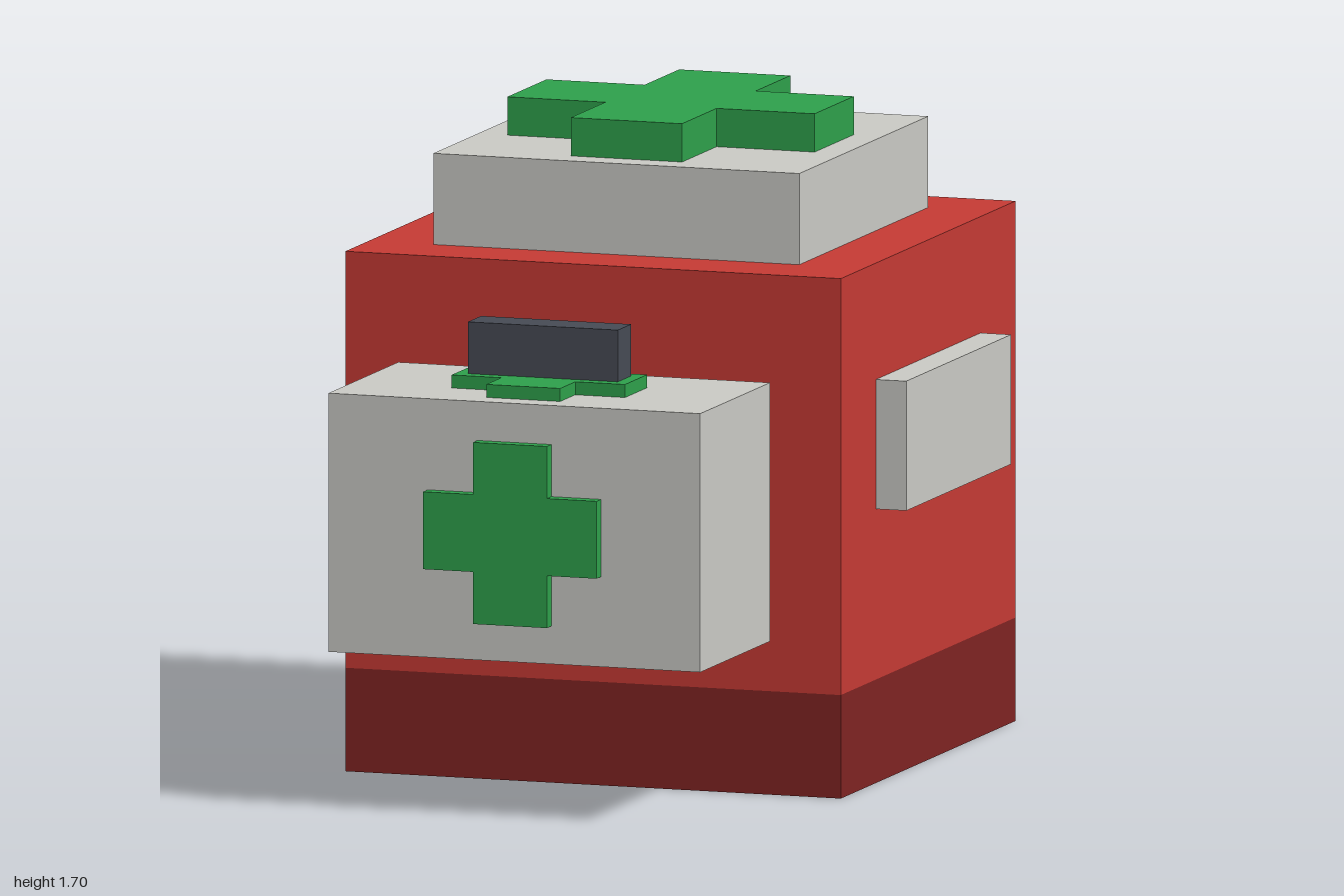
import * as THREE from 'three';

const mat = (name, color) => {
  const m = new THREE.MeshStandardMaterial({ color });
  m.name = name;
  return m;
};

export function createModel() {
  const red = mat('red', 0xc53a34);
  const darkRed = mat('dark red', 0x7f2322);
  const grey = mat('light grey', 0xc9c9c4);
  const green = mat('green', 0x2ea04b);
  const charcoal = mat('charcoal', 0x464a54);

  const model = new THREE.Group();
  model.name = 'medicalCube';

  const add = (name, geometry, material, parent = model) => {
    const mesh = new THREE.Mesh(geometry, material);
    mesh.name = name;
    parent.add(mesh);
    return mesh;
  };

  // Box given by its minimum and maximum on each axis
  const block = (name, [x0, x1], [y0, y1], [z0, z1], material, parent) => {
    const mesh = add(name, new THREE.BoxGeometry(x1 - x0, y1 - y0, z1 - z0), material, parent);
    mesh.position.set((x0 + x1) / 2, (y0 + y1) / 2, (z0 + z1) / 2);
    return mesh;
  };

  // Plus sign in the xy plane: half width w, half height h, half arm thicknesses a (upright) and b (crossbar)
  const cross = (name, w, h, a, b, depth, parent) => {
    const corners = [
      [a, -h], [a, -b], [w, -b], [w, b], [a, b], [a, h],
      [-a, h], [-a, b], [-w, b], [-w, -b], [-a, -b], [-a, -h],
    ];
    const shape = new THREE.Shape(corners.map(([x, y]) => new THREE.Vector2(x, y)));
    return add(name, new THREE.ExtrudeGeometry(shape, { depth, bevelEnabled: false }), green, parent);
  };

  // Body with a dark base
  block('base', [-0.677, 0.677], [0, 0.27], [-1, 0.355], darkRed);
  block('body', [-0.677, 0.677], [0.27, 1.357], [-1, 0.355], red);

  // Cap with a raised cross
  block('cap', [-0.5, 0.5], [1.357, 1.595], [-0.825, 0.175], grey);
  const capCross = cross('capCross', 0.42, 0.42, 0.152, 0.152, 0.1);
  capCross.rotation.x = -Math.PI / 2;
  capCross.position.set(0, 1.595, -0.323);

  // Side panels and eyes, mirrored
  for (const [side, s] of [['left', 1], ['right', -1]]) {
    const span = (a, b) => (s > 0 ? [a, b] : [-b, -a]);
    block(side + 'SidePanel', span(0.677, 0.76), [0.715, 1.053], [-0.73, 0.083], grey);
    block(side + 'Eye', span(0.178, 0.363), [0.79, 1.06], [0.355, 0.405], charcoal);
  }

  // First aid case floating in front
  const firstAidCase = new THREE.Group();
  firstAidCase.name = 'firstAidCase';
  model.add(firstAidCase);
  block('caseBox', [-0.508, 0.508], [0.412, 1.087], [0.425, 0.966], grey, firstAidCase);
  const frontCross = cross('caseFrontCross', 0.237, 0.237, 0.101, 0.101, 0.034, firstAidCase);
  frontCross.position.set(0, 0.748, 0.966);
  const lidCross = cross('caseLidCross', 0.237, 0.203, 0.101, 0.086, 0.034, firstAidCase);
  lidCross.rotation.x = -Math.PI / 2;
  lidCross.position.set(0, 1.087, 0.694);
  block('caseHandle', [-0.205, 0.205], [1.121, 1.256], [0.642, 0.745], charcoal, firstAidCase);

  return model;
}
